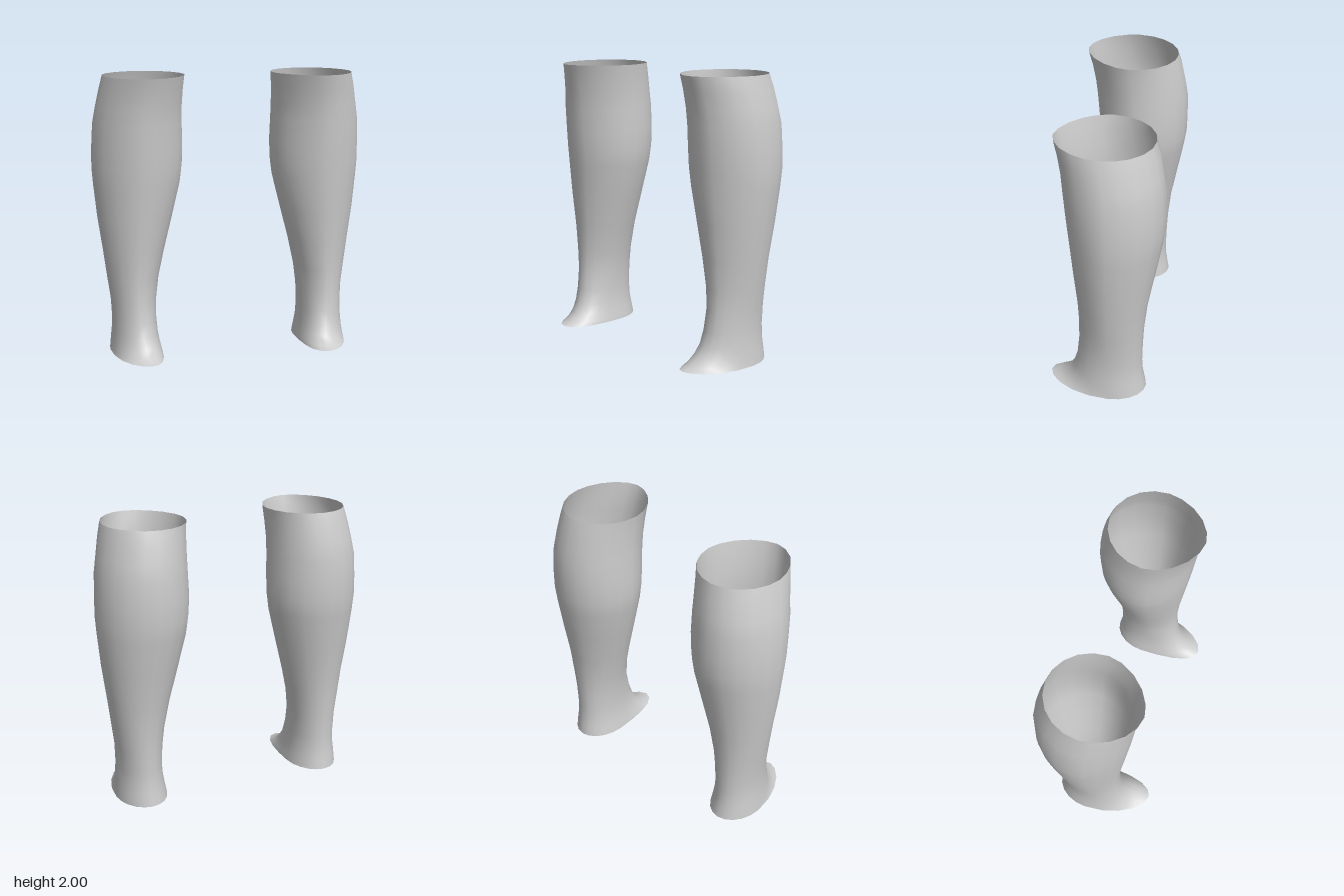
import * as THREE from 'three';

// Cross-sections from knee to foot: height, inner x, outer x, front z, back z, z of widest point, x of the shin crest
const rings = [
  [2.00, 0.32, 0.90, 0.33, -0.33, -0.01, 0.63],
  [1.90, 0.33, 0.925, 0.305, -0.36, -0.02, 0.64],
  [1.78, 0.335, 0.95, 0.285, -0.383, -0.04, 0.65],
  [1.67, 0.335, 0.97, 0.275, -0.403, -0.05, 0.66],
  [1.50, 0.33, 0.98, 0.262, -0.408, -0.06, 0.66],
  [1.36, 0.335, 0.983, 0.25, -0.405, -0.06, 0.66],
  [1.24, 0.35, 0.975, 0.238, -0.388, -0.06, 0.665],
  [1.00, 0.41, 0.952, 0.215, -0.345, -0.055, 0.68],
  [0.75, 0.475, 0.918, 0.19, -0.30, -0.05, 0.69],
  [0.55, 0.52, 0.893, 0.18, -0.28, -0.05, 0.70],
  [0.40, 0.54, 0.873, 0.183, -0.273, -0.045, 0.70],
  [0.25, 0.547, 0.865, 0.20, -0.27, -0.045, 0.69],
  [0.15, 0.54, 0.87, 0.23, -0.275, -0.045, 0.68],
  [0.08, 0.53, 0.877, 0.275, -0.287, -0.05, 0.665],
  [0.03, 0.52, 0.882, 0.34, -0.295, -0.05, 0.655],
  [0.00, 0.515, 0.885, 0.405, -0.30, -0.05, 0.65],
];
const SIDES = 20;

// Open tube lofted through the rings; side = 1 for the left leg, -1 for the right
function shellGeometry(side) {
  const positions = [], index = [];
  rings.forEach(([y, xIn, xOut, zFront, zBack, zWide, xCrest], i) => {
    const cx = (xIn + xOut) / 2, half = (xOut - xIn) / 2;
    for (let j = 0; j < SIDES; j++) {
      const t = (j / SIDES) * Math.PI * 2;
      const c = Math.cos(t), s = Math.sin(t);
      // the front half is slightly pointed, forming the shin
      const power = s > 0 && y > 0.3 ? 1.12 : 1;
      const px = Math.sign(c) * Math.abs(c) ** power;
      const pz = Math.sign(s) * Math.abs(s) ** power;
      const lean = s > 0 ? (xCrest - cx) * s * s : 0;
      const z = zWide + pz * (s > 0 ? zFront - zWide : zWide - zBack);
      // the toe tip lifts a little off the ground
      const lift = i === rings.length - 1 ? 0.012 * Math.max(0, s) ** 4 : 0;
      positions.push(side * (cx + half * px + lean), y + lift, z);
      if (i < rings.length - 1) {
        const a = i * SIDES + j, b = i * SIDES + (j + 1) % SIDES;
        const d = a + SIDES, e = b + SIDES;
        if (side > 0) index.push(a, b, d, b, e, d);
        else index.push(a, d, b, b, d, e);
      }
    }
  });
  const geometry = new THREE.BufferGeometry();
  geometry.setAttribute('position', new THREE.Float32BufferAttribute(positions, 3));
  geometry.setIndex(index);
  geometry.computeVertexNormals();
  return geometry;
}

export function createModel() {
  const group = new THREE.Group();
  group.name = 'lowerLegShells';
  const grey = new THREE.MeshStandardMaterial({ color: 0xcccccc, side: THREE.DoubleSide });
  grey.name = 'light grey';
  for (const [name, side] of [['leftLegShell', 1], ['rightLegShell', -1]]) {
    const mesh = new THREE.Mesh(shellGeometry(side), grey);
    mesh.name = name;
    group.add(mesh);
  }
  return group;
}
